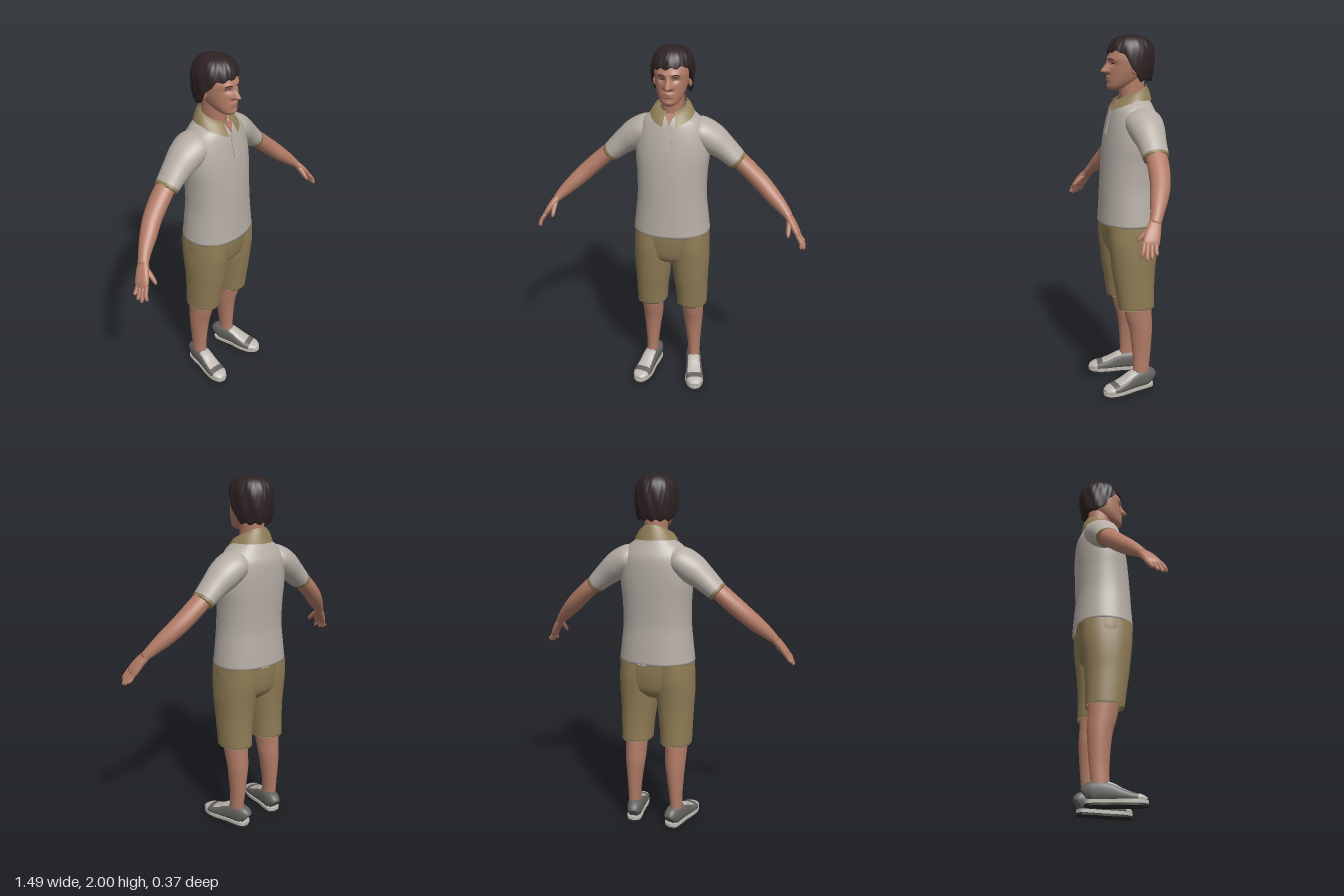
import * as THREE from 'three';

const mat = (name, color, side = THREE.FrontSide) => {
  const m = new THREE.MeshStandardMaterial({ color, side });
  m.name = name;
  return m;
};
const skin = mat('skin', 0xb37c67);
const lips = mat('lips', 0x8f5b4c);
const hairMat = mat('hair', 0x2e2223);
const cloth = mat('shirt', 0xb5ada5, THREE.DoubleSide);
const khaki = mat('khaki', 0x8f7c55, THREE.DoubleSide);
const grey = mat('shoeGrey', 0x63625f);
const pale = mat('shoePale', 0xbdb8b0);
const soleMat = mat('sole', 0x2b2929);

const V = (x, y, z) => new THREE.Vector3(x, y, z);
const bell = (d, w) => Math.exp(-(d * d) / (w * w));
const power = (v, p) => Math.sign(v) * Math.abs(v) ** (2 / p);

// Smoothly resample rows of numbers
function resample(rows, n) {
  const out = [];
  for (let k = 0; k <= n; k++) {
    const u = (k / n) * (rows.length - 1);
    const i = Math.min(Math.floor(u), rows.length - 2), t = u - i;
    const at = (q) => rows[Math.max(0, Math.min(rows.length - 1, q))];
    out.push(rows[0].map((_, c) => {
      const [a, b, d, e] = [at(i - 1)[c], at(i)[c], at(i + 1)[c], at(i + 2)[c]];
      return b + 0.5 * t * (d - a + t * (2 * a - 5 * b + 4 * d - e + t * (3 * (b - d) + e - a)));
    }));
  }
  return out;
}

// Skin a list of rings; paint(row fraction, ring fraction) picks a material index
function skinRings(name, rings, material, { open = false, caps = !open, paint = () => 0 } = {}) {
  const n = rings[0].length, pts = rings.flat(), lists = [[], [], []];
  for (let i = 0; i < rings.length - 1; i++) {
    for (let j = 0; j < (open ? n - 1 : n); j++) {
      const k = (j + 1) % n, a = i * n + j, b = i * n + k, c = a + n, d = b + n;
      lists[paint(i / (rings.length - 1), j / n)].push(a, b, c, b, d, c);
    }
  }
  if (caps) {
    for (const [row, f] of [[0, 0], [rings.length - 1, 1]]) {
      const mid = rings[row].reduce((s, p) => s.add(p), V(0, 0, 0)).divideScalar(n);
      const m = pts.push(mid) - 1;
      for (let j = 0; j < n; j++) {
        const a = row * n + j, b = row * n + (j + 1) % n;
        lists[paint(f, 0.5)].push(...(f ? [a, b, m] : [b, a, m]));
      }
    }
  }
  const g = new THREE.BufferGeometry().setFromPoints(pts);
  g.setIndex(lists.flat());
  let start = 0;
  if (Array.isArray(material)) lists.forEach((l, i) => { g.addGroup(start, l.length, i); start += l.length; });
  g.computeVertexNormals();
  const mesh = new THREE.Mesh(g, material);
  mesh.name = name;
  return mesh;
}

// Upright body part; rows are [y, centre x, half width, front z, back z, tilt]
function stack(name, rows, material, { n = 24, segs = 40, p = 2.2, hem = false, warp, ...rest } = {}) {
  const rings = resample(rows, n).map(([y, cx, rx, zf, zb, tilt = 0]) =>
    Array.from({ length: segs }, (_, j) => {
      const a = (j / segs) * Math.PI * 2, dz = ((zf - zb) / 2) * power(Math.cos(a), p);
      const v = V(cx + rx * power(Math.sin(a), p), y + tilt * dz, (zf + zb) / 2 + dz);
      if (warp) warp(v);
      return v;
    }));
  if (hem) {
    const [, cx, , zf, zb] = rows[0], c = V(cx, rows[0][0], (zf + zb) / 2);
    rings.unshift(rings[0].map((v) => v.clone().lerp(c, 0.08).add(V(0, 0.02, 0))));
  }
  return skinRings(name, rings, material, rest);
}

// Limb along a path; rows are [x, y, z, radius along hint, radius across]
function limb(name, rows, material, { n = 20, segs = 24, p = 2, hint = V(0, 0, 1), ...rest } = {}) {
  const r = resample(rows, n);
  const rings = r.map(([x, y, z, ra, rb], i) => {
    const q = r[Math.min(n, i + 1)], o = r[Math.max(0, i - 1)];
    const t = V(q[0] - o[0], q[1] - o[1], q[2] - o[2]).normalize();
    const e1 = hint.clone().addScaledVector(t, -hint.dot(t)).normalize(), e2 = t.clone().cross(e1);
    return Array.from({ length: segs }, (_, j) => {
      const a = (j / segs) * Math.PI * 2;
      return V(x, y, z).addScaledVector(e1, ra * power(Math.cos(a), p)).addScaledVector(e2, rb * power(Math.sin(a), p));
    });
  });
  return skinRings(name, rings, material, rest);
}

function ball(name, material, pos, scale) {
  const m = new THREE.Mesh(new THREE.SphereGeometry(1, 20, 14), material);
  m.name = name;
  m.position.set(...pos);
  m.scale.set(...scale);
  return m;
}

function makeHead() {
  const g = new THREE.Group();
  g.name = 'head';
  // Nose, brow, eye sockets, lips and chin pushed out of the face
  const warp = (v) => {
    if (v.z < 0.03) return;
    const ax = Math.abs(v.x), y = v.y;
    const ridge = y > 1.81 ? Math.max(0, (1.872 - y) / 0.062) : Math.max(0, 1 - (1.81 - y) / 0.014);
    v.z += 0.044 * ridge * bell(v.x, 0.012 + 0.007 * ridge);
    v.z += 0.006 * bell(y - 1.876, 0.012) * bell(ax - 0.03, 0.03) - 0.013 * bell(ax - 0.034, 0.02) * bell(y - 1.851, 0.014);
    v.z += 0.007 * bell(v.x, 0.026) * (bell(y - 1.781, 0.007) + bell(y - 1.767, 0.007)) + 0.005 * bell(v.x, 0.02) * bell(y - 1.733, 0.012);
  };
  const skull = stack('face', [
    [1.713, 0, 0.022, 0.085, 0.04], [1.728, 0, 0.045, 0.1, 0], [1.76, 0, 0.066, 0.102, -0.06],
    [1.8, 0, 0.08, 0.1, -0.1], [1.84, 0, 0.088, 0.098, -0.12], [1.88, 0, 0.091, 0.098, -0.125],
    [1.93, 0, 0.086, 0.076, -0.115], [1.965, 0, 0.06, 0.04, -0.09], [1.98, 0, 0.02, 0, -0.05],
  ], skin, { n: 90, segs: 96, warp });
  const pos = skull.geometry.attributes.position;
  const faceZ = (x, y) => {
    let best = 1, z = 0;
    for (let i = 0; i < pos.count; i++) {
      const d = Math.hypot(pos.getX(i) - x, pos.getY(i) - y);
      if (pos.getZ(i) > 0.02 && d < best) { best = d; z = pos.getZ(i); }
    }
    return z;
  };
  const line = (name, material, pts, r) => {
    const path = new THREE.CatmullRomCurve3(pts.map(([x, y]) => V(x, y, faceZ(x, y))));
    const m = new THREE.Mesh(new THREE.TubeGeometry(path, 12, r, 6), material);
    m.name = name;
    return m;
  };
  g.add(skull, line('mouth', lips, [[-0.024, 1.773], [0, 1.774], [0.024, 1.773]], 0.0025));
  for (const s of [-1, 1]) {
    g.add(line('eyeLine', hairMat, [[s * 0.021, 1.849], [s * 0.033, 1.852], [s * 0.047, 1.849]], 0.002));
    g.add(line('eyebrow', hairMat, [[s * 0.018, 1.871], [s * 0.034, 1.877], [s * 0.054, 1.872]], 0.0025));
    g.add(ball('ear', skin, [s * 0.093, 1.825, -0.022], [0.012, 0.032, 0.02]));
  }
  // Hair cap with a hairline that drops from the fringe to the nape
  const segs = 96, rows = 28, ring = (s, k = 1, lift = 0) => Array.from({ length: segs }, (_, j) => {
    const a = (j / segs) * Math.PI * 2, front = THREE.MathUtils.smoothstep(Math.cos(a), -0.3, 0.75);
    const low = 1.762 + 0.145 * front + front * 0.012 * Math.sin(a) + 0.006 * Math.sin(13 * a);
    const y = 1.998 - (1.998 - low) * (1 - Math.cos((s * Math.PI) / 2)), t = (y - 1.87) / 0.13;
    const f = t > 0 ? Math.max(0, 1 - t ** 2.6) ** (1 / 2.6) : 1 - 0.2 * t * t;
    const r = k * f * (1 + 0.014 * Math.sin(11 * a + 30 * y) + 0.012 * Math.sin(27 * a - 45 * y));
    return V(0.113 * r * Math.sin(a), y + lift, -0.027 + 0.129 * r * Math.cos(a));
  });
  const rings = [ring(1, 0.84, 0.012)];
  for (let i = 0; i <= rows; i++) rings.push(ring(1 - (i / rows) * 0.97));
  g.add(skinRings('hair', rings, hairMat));
  return g;
}

function makeCollar() {
  const rings = [1, 0.5, 0].map((t) => Array.from({ length: 49 }, (_, j) => {
    const a = 0.3 + (j / 48) * (Math.PI * 2 - 0.6), c = Math.cos(a), L = THREE.MathUtils.lerp;
    const bottom = 1.66 - 0.05 * Math.max(0, c) - 0.012 * Math.max(0, c) ** 8, top = 1.705 - 0.034 * c;
    return V(L(0.073, 0.118, t) * Math.sin(a), L(top, bottom, t) + 0.012 * Math.sin(t * Math.PI), L(-0.036, -0.02, t) + L(0.076, 0.121, t) * c);
  }));
  return skinRings('collar', rings, khaki, { open: true });
}

function makeShoe(s) {
  const g = new THREE.Group();
  g.name = 'shoe';
  const shape = new THREE.Shape();
  shape.moveTo(0, -0.128);
  shape.splineThru([[0.036, -0.112], [0.044, -0.06], [0.045, 0], [0.054, 0.08], [0.05, 0.135], [0.03, 0.175], [0, 0.188],
    [-0.03, 0.175], [-0.05, 0.135], [-0.054, 0.08], [-0.045, 0], [-0.044, -0.06], [-0.036, -0.112], [0, -0.128]]
    .map(([x, y]) => new THREE.Vector2(x, y)));
  for (const [name, material, top, depth] of [['sole', soleMat, 0.012, 0.012], ['soleRim', pale, 0.03, 0.018]]) {
    const geo = new THREE.ExtrudeGeometry(shape, { depth, bevelEnabled: false, curveSegments: 48 });
    const m = new THREE.Mesh(geo.rotateX(Math.PI / 2).translate(0, top, 0), material);
    m.name = name;
    g.add(m);
  }
  // Upper with pale toe cap and tongue; rows are z, half width, top
  const rows = [[-0.122, 0.028, 0.09], [-0.1, 0.041, 0.12], [-0.05, 0.046, 0.128], [0, 0.047, 0.118], [0.05, 0.05, 0.092],
    [0.1, 0.052, 0.072], [0.15, 0.045, 0.06], [0.18, 0.024, 0.045]]
    .map(([z, w, h]) => [0, (h + 0.014) / 2, z, (h - 0.014) / 2, w]);
  g.add(limb('upper', rows, [grey, pale], {
    n: 42, segs: 48, p: 2.4, hint: V(0, 1, 0),
    paint: (u, a) => (u > 0.79 || (u > 0.38 && u < 0.7 && (a < 0.12 || a > 0.87)) ? 1 : 0),
  }));
  g.position.x = s * 0.137;
  g.rotation.y = s * 0.2;
  return g;
}

function makeSide(s) {
  const g = new THREE.Group();
  g.name = s > 0 ? 'leftLimbs' : 'rightLimbs';
  const fx = (rows) => rows.map(([x, ...r]) => [s * x, ...r]);
  const fc = (rows) => rows.map(([y, x, ...r]) => [y, s * x, ...r]);
  g.add(limb('sleeve', fx([[0.08, 1.575, -0.05, 0.06, 0.05], [0.14, 1.555, -0.05, 0.1, 0.075], [0.21, 1.512, -0.052, 0.095, 0.08],
    [0.28, 1.46, -0.052, 0.078, 0.066], [0.357, 1.393, -0.05, 0.068, 0.052]]), [cloth, khaki], { n: 32, segs: 32, paint: (u) => (u > 0.93 ? 1 : 0) }));
  g.add(limb('arm', fx([[0.33, 1.425, -0.05, 0.055, 0.045], [0.4, 1.365, -0.045, 0.056, 0.047], [0.485, 1.29, -0.025, 0.051, 0.046],
    [0.55, 1.23, 0.005, 0.045, 0.042], [0.605, 1.18, 0.033, 0.034, 0.033], [0.65, 1.135, 0.06, 0.028, 0.021]]), skin));
  // Hand
  g.add(limb('palm', fx([[0.635, 1.15, 0.05, 0.026, 0.02], [0.665, 1.115, 0.072, 0.036, 0.019],
    [0.695, 1.07, 0.093, 0.041, 0.016], [0.706, 1.048, 0.1, 0.036, 0.01]]), skin, { p: 2.4 }));
  [[0.722, 1.0, 0.15], [0.737, 0.99, 0.128], [0.738, 0.995, 0.104], [0.734, 1.01, 0.08]].forEach(([x, y, z], i) => {
    const k = 0.128 - i * 0.019;
    g.add(limb('finger', fx([[0.698, 1.065, k, 0.011, 0.011], [0.72, 1.03, (k + z) / 2 + 0.002, 0.0105, 0.0105],
      [x, y + 0.008, z, 0.009, 0.009], [x, y, z, 0.004, 0.004]]), skin, { n: 10, segs: 10 }));
  });
  g.add(limb('thumb', fx([[0.65, 1.13, 0.07, 0.014, 0.016], [0.65, 1.1, 0.108, 0.013, 0.013], [0.65, 1.07, 0.138, 0.01, 0.01],
    [0.652, 1.058, 0.146, 0.004, 0.004]]), skin, { n: 10, segs: 12 }));
  g.add(stack('leg', fc([[0.06, 0.13, 0.034, 0.005, -0.095], [0.13, 0.13, 0.035, -0.003, -0.098], [0.2, 0.128, 0.038, -0.002, -0.105],
    [0.3, 0.125, 0.048, 0.006, -0.113], [0.38, 0.122, 0.057, 0.018, -0.117], [0.46, 0.122, 0.061, 0.04, -0.114], [0.6, 0.12, 0.07, 0.065, -0.11]]), skin, { p: 2 }));
  g.add(stack('shortsLeg', fc([[0.51, 0.118, 0.087, 0.08, -0.127], [0.6, 0.116, 0.091, 0.092, -0.126], [0.7, 0.111, 0.098, 0.108, -0.13],
    [0.8, 0.108, 0.106, 0.12, -0.14], [0.9, 0.106, 0.107, 0.13, -0.152], [1.0, 0.1, 0.105, 0.13, -0.155]]), khaki, { hem: true, caps: false }));
  g.add(makeShoe(s));
  return g;
}

export function createModel() {
  const model = new THREE.Group();
  model.name = 'standingMan';
  model.add(makeHead(), makeCollar());
  model.add(stack('neck', [[1.58, 0, 0.06, 0.03, -0.1], [1.68, 0, 0.058, 0.034, -0.1], [1.78, 0, 0.061, 0.04, -0.1]], skin));
  model.add(stack('shirt', [
    [0.99, 0, 0.214, 0.155, -0.18, 0], [1.1, 0, 0.201, 0.148, -0.172, 0], [1.2, 0, 0.191, 0.143, -0.165, 0], [1.32, 0, 0.192, 0.135, -0.168, 0],
    [1.42, 0, 0.2, 0.125, -0.172, 0], [1.5, 0, 0.198, 0.112, -0.172, 0], [1.57, 0, 0.183, 0.096, -0.166, 0], [1.62, 0, 0.153, 0.08, -0.145, 0],
    [1.655, 0, 0.108, 0.062, -0.125, -0.1], [1.68, 0, 0.07, 0.042, -0.108, -0.4],
  ], cloth, { n: 48, segs: 56, hem: true, caps: false }));
  model.add(stack('shortsSeat', [[0.78, 0, 0.08, 0.04, -0.09], [0.83, 0, 0.19, 0.108, -0.138], [0.92, 0, 0.212, 0.132, -0.156], [1.02, 0, 0.205, 0.14, -0.16]], khaki));

  // Open neck and front placket
  const vee = new THREE.Shape([[-0.026, 0.062], [0, 0], [0.026, 0.062]].map(([x, y]) => new THREE.Vector2(x, y)));
  const throat = new THREE.Mesh(new THREE.ExtrudeGeometry(vee, { depth: 0.006, bevelEnabled: false }), skin);
  throat.name = 'throat';
  throat.position.set(0, 1.61, 0.082);
  throat.rotation.x = -0.41;
  const placket = new THREE.Mesh(new THREE.BoxGeometry(0.03, 0.13, 0.008), cloth);
  placket.name = 'placket';
  placket.position.set(0, 1.545, 0.102);
  placket.rotation.x = -0.25;
  model.add(throat, placket);

  for (const s of [-1, 1]) model.add(makeSide(s));
  return model;
}
